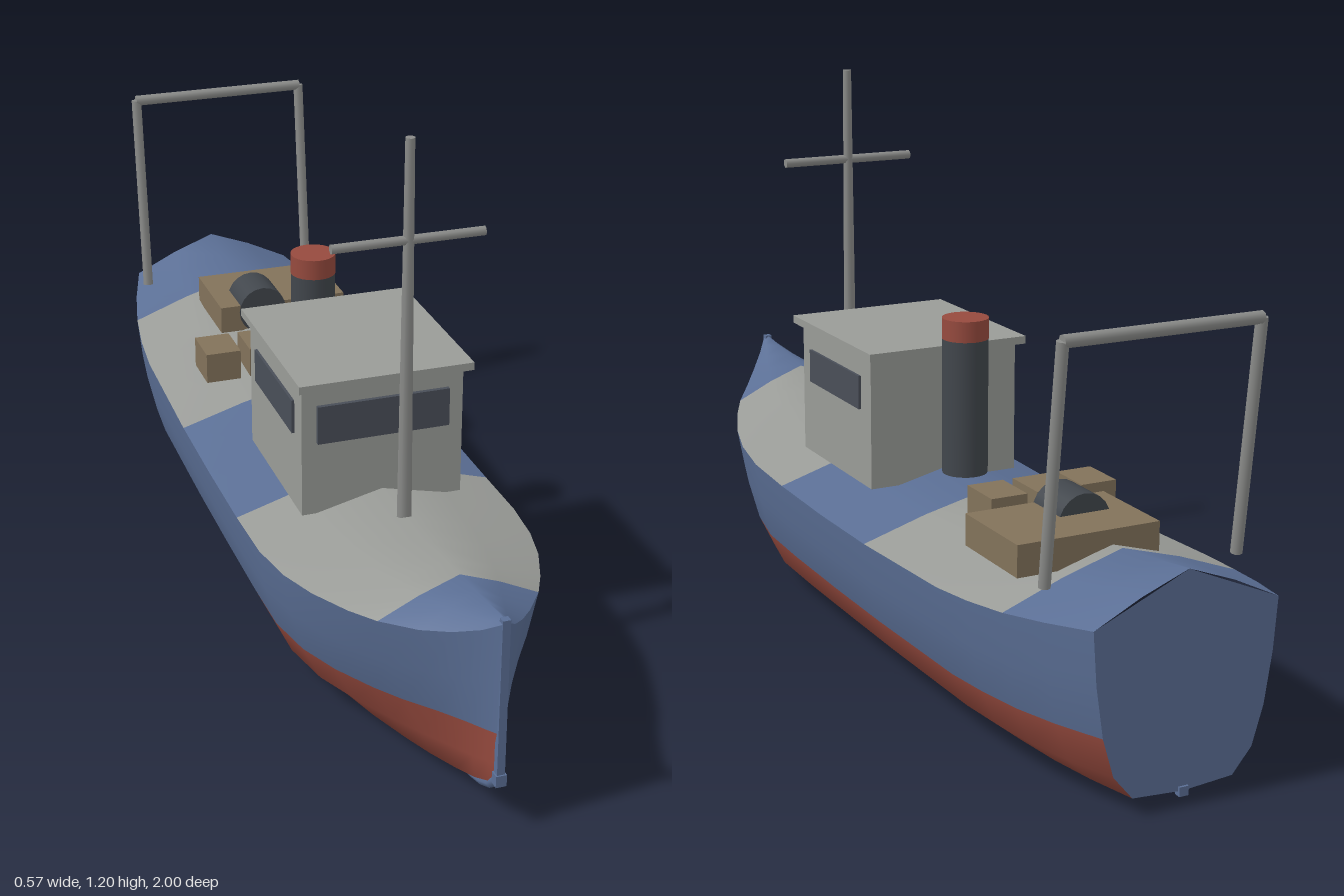
import * as THREE from 'three';

const material = (name, color, side = THREE.FrontSide) => {
  const m = new THREE.MeshStandardMaterial({ color, side });
  m.name = name;
  return m;
};

// Hull stations from bow to stern: z, half width, sheer y, waterline y, keel y, fullness
const STATIONS = [
  [0.995, 0.008, 0.452, 0.215, 0.105, 0.8],
  [0.96, 0.033, 0.425, 0.207, 0.08, 0.66],
  [0.91, 0.07, 0.398, 0.197, 0.056, 0.64],
  [0.85, 0.112, 0.375, 0.185, 0.038, 0.68],
  [0.77, 0.165, 0.357, 0.17, 0.024, 0.76],
  [0.7, 0.2, 0.346, 0.16, 0.018, 0.83],
  [0.6, 0.24, 0.334, 0.15, 0.014, 0.91],
  [0.5, 0.266, 0.323, 0.143, 0.012, 0.97],
  [0.38, 0.281, 0.314, 0.137, 0.011, 1],
  [0.22, 0.283, 0.308, 0.133, 0.01, 1],
  [0, 0.283, 0.305, 0.131, 0.01, 1],
  [-0.22, 0.283, 0.308, 0.132, 0.01, 1],
  [-0.55, 0.281, 0.323, 0.138, 0.012, 1],
  [-0.66, 0.273, 0.332, 0.143, 0.014, 1],
  [-0.77, 0.257, 0.343, 0.148, 0.017, 1],
  [-0.88, 0.232, 0.358, 0.156, 0.022, 1],
  [-0.995, 0.197, 0.375, 0.166, 0.029, 1],
];

// Half section from the sheer down to the keel
function halfSection([z, w, sheer, water, keel, full]) {
  return [
    [w, sheer],
    [w * (0.6 + 0.36 * full), water + (sheer - water) * 0.5],
    [w * 0.88 * full, water],
    [w * 0.76 * full * full, keel + (water - keel) * 0.42],
    [w * 0.55 * full * full, keel + 0.008],
    [0, keel],
  ].map(([x, y]) => new THREE.Vector3(x, y, z));
}

const mirrorX = (p) => new THREE.Vector3(-p.x, p.y, p.z);

function hullSection(s) {
  const half = halfSection(s);
  return [...half, ...half.slice(0, -1).reverse().map(mirrorX)];
}

function deckSection([z, w, sheer]) {
  const ridge = 0.38 + 0.081 * z * z;
  return [-1, -0.5, 0, 0.5, 1].map((t) =>
    new THREE.Vector3(t * w, ridge + (sheer - ridge) * (t * t * 0.25 + Math.abs(t) * 0.75), z));
}

// Smooth skin over sections; pick(i, j) gives the material index of each quad
function skin(rows, pick) {
  const n = rows[0].length;
  const buckets = [[], []];
  for (let i = 0; i < rows.length - 1; i++) {
    for (let j = 0; j < n - 1; j++) {
      const a = i * n + j, b = a + n;
      buckets[pick(i, j)].push(a, a + 1, b, a + 1, b + 1, b);
    }
  }
  const g = new THREE.BufferGeometry().setFromPoints(rows.flat());
  g.setIndex(buckets.flat());
  g.addGroup(0, buckets[0].length, 0);
  g.addGroup(buckets[0].length, buckets[1].length, 1);
  g.computeVertexNormals();
  return g;
}

export function createModel() {
  const blue = material('hullBlue', 0x5a6e94);
  const red = material('antifoulRed', 0x964a3e);
  const grey = material('deckGrey', 0x999b97);
  const wood = material('crateWood', 0x82725a);
  const dark = material('darkSteel', 0x41464c);
  const glass = material('windowGlass', 0x494e58);
  const metal = material('sparMetal', 0x8a8b89);

  const model = new THREE.Group();
  model.name = 'fishingBoat';

  const add = (name, geometry, mat, x = 0, y = 0, z = 0) => {
    const mesh = new THREE.Mesh(geometry, mat);
    mesh.name = name;
    mesh.position.set(x, y, z);
    model.add(mesh);
    return mesh;
  };
  // Box given by its limits on each axis
  const box = (name, mat, [x0, x1], [y0, y1], [z0, z1]) =>
    add(name, new THREE.BoxGeometry(x1 - x0, y1 - y0, z1 - z0), mat,
      (x0 + x1) / 2, (y0 + y1) / 2, (z0 + z1) / 2);
  // Round bar between two points
  const bar = (name, from, to, r0, r1 = r0, sides = 8) => {
    const a = new THREE.Vector3(...from), b = new THREE.Vector3(...to);
    const mesh = add(name, new THREE.CylinderGeometry(r1, r0, a.distanceTo(b), sides), metal);
    mesh.position.lerpVectors(a, b, 0.5);
    mesh.quaternion.setFromUnitVectors(new THREE.Vector3(0, 1, 0), b.sub(a).normalize());
  };

  // Hull: blue topsides above the waterline, red below
  add('hull', skin(STATIONS.map(hullSection), (i, j) => (j < 2 || j > 7 ? 0 : 1)), [blue, red]);

  // Cambered deck in alternating grey and blue lengths
  const deckColour = (i) => {
    const z = Math.abs(STATIONS[i][0] + STATIONS[i + 1][0]) / 2;
    return z > 0.22 && z < 0.77 ? 0 : 1;
  };
  add('deck', skin(STATIONS.map(deckSection), deckColour), [grey, blue]);

  // Flat transom
  const stern = STATIONS[STATIONS.length - 1];
  const outline = [...hullSection(stern), new THREE.Vector3(0, 0.46, 0)];
  add('transom', new THREE.ShapeGeometry(new THREE.Shape(outline)).rotateY(Math.PI), blue, 0, 0, stern[0]);

  // Stem and keel
  box('stem', blue, [-0.008, 0.008], [0.105, 0.46], [0.982, 0.997]);
  const keelPath = new THREE.CatmullRomCurve3([
    [0.99, 0.112], [0.96, 0.083], [0.9, 0.052], [0.8, 0.028], [0.65, 0.016],
    [0.4, 0.012], [-0.5, 0.012], [-0.75, 0.017], [-0.99, 0.029],
  ].map(([z, y]) => new THREE.Vector3(0, y, z)));
  add('keel', new THREE.TubeGeometry(keelPath, 40, 0.011, 6), blue);
  box('keelFrontEnd', blue, [-0.011, 0.011], [0.1, 0.125], [0.98, 1]);
  box('keelBackEnd', blue, [-0.01, 0.01], [0.02, 0.039], [-1, -0.985]);

  // Wheelhouse with roof and windows
  box('wheelhouse', grey, [-0.175, 0.175], [0.355, 0.645], [-0.027, 0.335]);
  box('wheelhouseRoof', grey, [-0.188, 0.188], [0.645, 0.662], [-0.052, 0.362]);
  box('frontWindow', glass, [-0.143, 0.143], [0.518, 0.602], [0.335, 0.344]);
  for (const s of [-1, 1]) {
    const x = [s * 0.175, s * 0.181].sort((a, b) => a - b);
    box(s > 0 ? 'leftWindow' : 'rightWindow', glass, x, [0.523, 0.597], [0.023, 0.287]);
  }

  // Funnel
  add('funnel', new THREE.CylinderGeometry(0.049, 0.049, 0.295, 24), dark, 0, 0.5475, -0.127);
  add('funnelTop', new THREE.CylinderGeometry(0.05, 0.05, 0.045, 24), red, 0, 0.7175, -0.127);

  // Mast and yard
  bar('mast', [0, 0.385, 0.467], [0, 1.2, 0.467], 0.016, 0.01);
  bar('mastYard', [-0.157, 0.994, 0.467], [0.157, 0.994, 0.467], 0.01);

  // Stern gantry
  for (const s of [-1, 1]) {
    bar(s > 0 ? 'leftGantryLeg' : 'rightGantryLeg',
      [s * 0.209, 0.408, -0.84], [s * 0.209, 0.878, -0.893], 0.012);
  }
  bar('gantryBeam', [-0.21, 0.877, -0.893], [0.21, 0.877, -0.893], 0.013);

  // Fish crates, hatch and winch drum
  for (const x of [-0.157, -0.053, 0.052]) {
    box('crate', wood, [x - 0.041, x + 0.041], [0.365, 0.436], [-0.422, -0.318]);
  }
  box('hatch', wood, [-0.104, 0.207], [0.39, 0.455], [-0.735, -0.527]);
  add('winchDrum', new THREE.CylinderGeometry(0.058, 0.058, 0.104, 20).rotateX(Math.PI / 2),
    dark, 0, 0.437, -0.577);

  return model;
}
